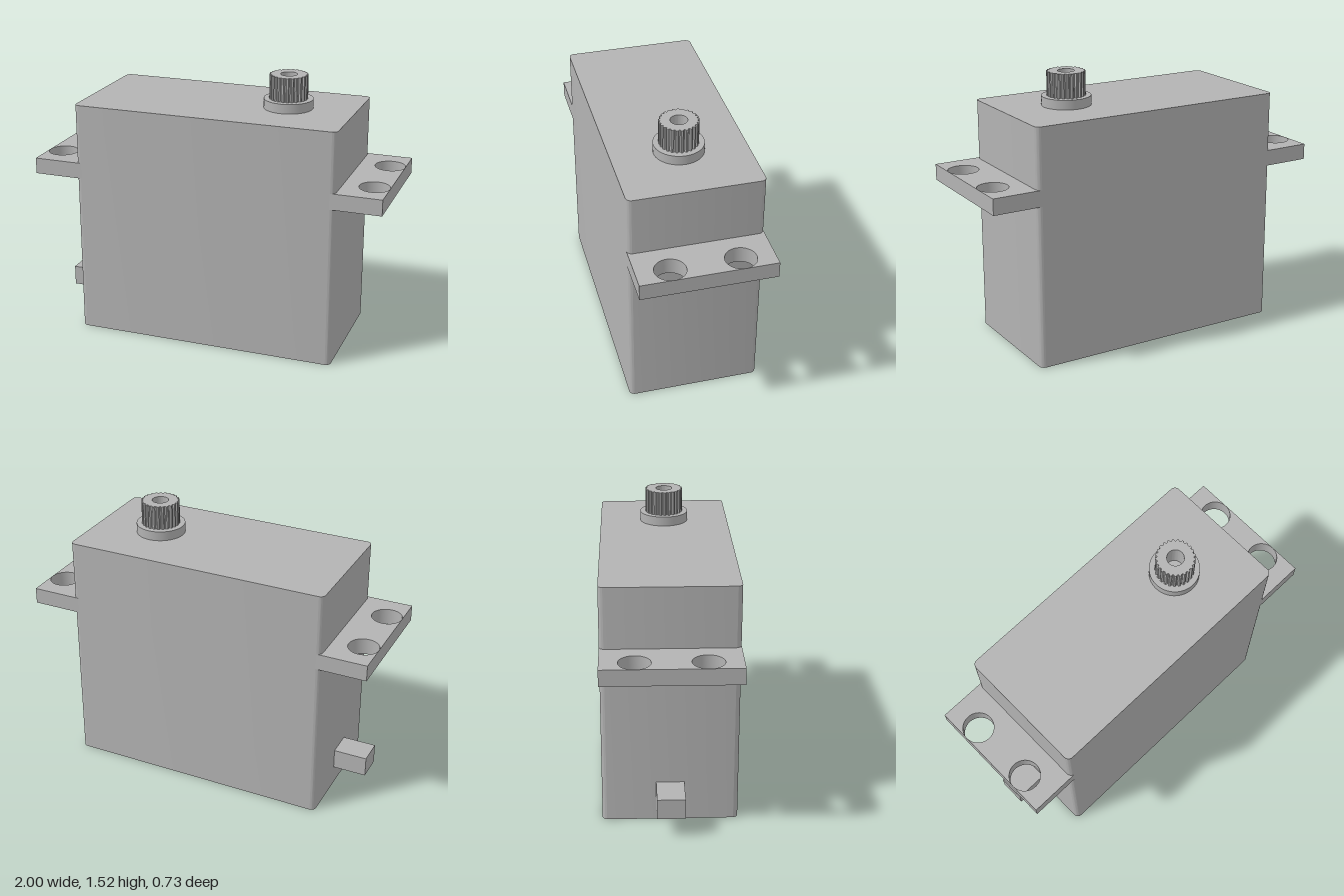
import * as THREE from 'three';
import { toCreasedNormals } from 'three/addons/utils/BufferGeometryUtils.js';

const grey = new THREE.MeshStandardMaterial({ color: 0xb3b3b3 });
grey.name = 'grey plastic';

// Extrudes a plan outline upwards from y0 to y1, keeping hard edges sharp.
function prism(name, shape, y0, y1, crease = 0.5) {
  const geo = new THREE.ExtrudeGeometry(shape, { depth: y1 - y0, bevelEnabled: false, curveSegments: 24 });
  geo.rotateX(-Math.PI / 2).translate(0, y0, 0);
  const mesh = new THREE.Mesh(toCreasedNormals(geo, crease), grey);
  mesh.name = name;
  return mesh;
}

function roundedRect(hx, hz, r) {
  const s = new THREE.Shape();
  s.absarc(hx - r, hz - r, r, 0, Math.PI / 2);
  s.absarc(-hx + r, hz - r, r, Math.PI / 2, Math.PI);
  s.absarc(-hx + r, -hz + r, r, Math.PI, Math.PI * 1.5);
  s.absarc(hx - r, -hz + r, r, Math.PI * 1.5, Math.PI * 2);
  s.closePath();
  return s;
}

function circleHole(x, z, r) {
  return new THREE.Path().absarc(x, z, r, 0, Math.PI * 2, true);
}

// Toothed outline of the output shaft, with its screw hole.
function splineShape(teeth, outer, inner, bore) {
  const pts = [];
  for (let i = 0; i < teeth; i++) {
    [[0, inner], [0.25, inner], [0.45, outer], [0.8, outer]].forEach(([f, r]) => {
      const a = ((i + f) / teeth) * Math.PI * 2;
      pts.push(new THREE.Vector2(Math.cos(a) * r, Math.sin(a) * r));
    });
  }
  const s = new THREE.Shape(pts);
  s.holes.push(circleHole(0, 0, bore));
  return s;
}

export function createModel() {
  const model = new THREE.Group();
  model.name = 'servoMotor';
  const W = 0.747, D = 0.365, R = 0.03, H = 1.335;

  // Case with rounded vertical edges
  model.add(prism('case', roundedRect(W, D, R), 0, H));

  // Mounting tabs, each with two screw holes
  for (const side of [1, -1]) {
    const x0 = side > 0 ? W - R : -1, x1 = side > 0 ? 1 : -W + R;
    const tab = new THREE.Shape();
    tab.moveTo(x0, -D).lineTo(x1, -D).lineTo(x1, D).lineTo(x0, D).closePath();
    for (const z of [-0.185, 0.185]) tab.holes.push(circleHole(side * 0.915, z, 0.084));
    model.add(prism(side > 0 ? 'leftTab' : 'rightTab', tab, 0.91, 1.0));
  }

  // Output shaft: collar and splined shaft with a blind screw hole
  const output = new THREE.Group();
  output.name = 'outputShaft';
  output.position.set(0.375, 0, 0);
  const collar = new THREE.Mesh(new THREE.CylinderGeometry(0.136, 0.136, 0.053, 48), grey);
  collar.name = 'collar';
  collar.position.y = H + 0.0265;
  output.add(collar, prism('spline', splineShape(25, 0.106, 0.097, 0.046), 1.388, 1.522, 0.3));
  model.add(output);

  // Cable outlet
  const cable = new THREE.Mesh(new THREE.BoxGeometry(0.2, 0.113, 0.15), grey);
  cable.name = 'cableOutlet';
  cable.position.set(-0.835, 0.168, 0);
  model.add(cable);

  return model;
}
